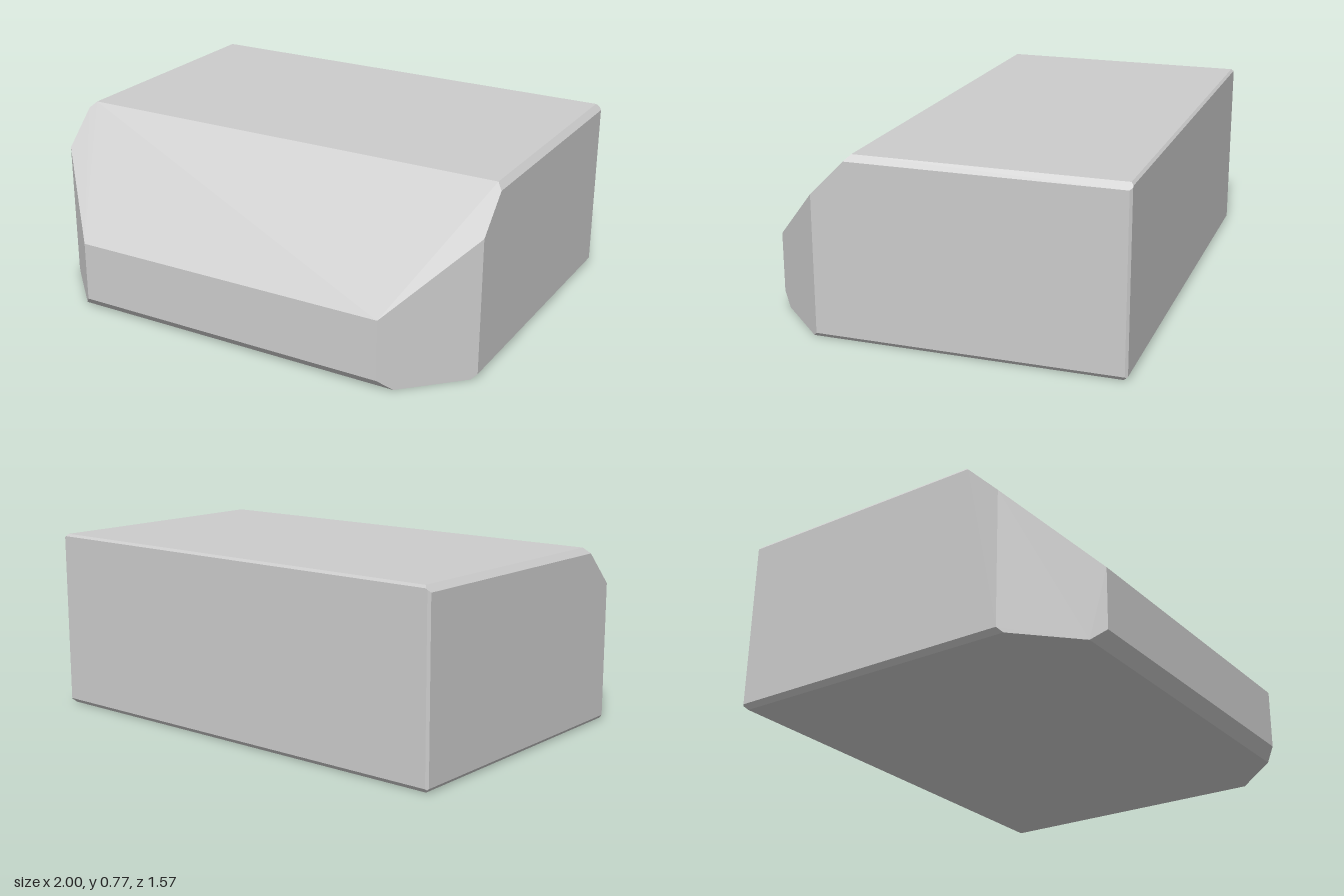
import * as THREE from 'three';
import { ConvexGeometry } from 'three/addons/geometries/ConvexGeometry.js';

export function createModel() {
  // Corners of the left half; the right half is mirrored
  const corners = [
    // front face and its lower bevel
    [0.705, 0.31, 0.785], [0.705, 0.05, 0.785], [0.755, 0, 0.735],
    // cut front corner meeting the side and the floor
    [1, 0.6, 0.49], [1, 0.02, 0.49], [0.98, 0, 0.51],
    // top of the sloped front
    [1, 0.745, 0.345], [0.975, 0.77, 0.32],
    // upper back corner with fine bevels
    [1, 0.745, -0.775], [0.975, 0.77, -0.775], [0.985, 0.76, -0.785], [0.99, 0.755, -0.785],
    // lower back corner
    [1, 0.02, -0.775], [0.99, 0.02, -0.785], [0.995, 0.015, -0.78], [0.98, 0, -0.765],
  ];
  const points = corners.flatMap(([x, y, z]) => [
    new THREE.Vector3(x, y, z), new THREE.Vector3(-x, y, z),
  ]);

  // Bevelled solid block
  const block = new THREE.Mesh(
    new ConvexGeometry(points),
    new THREE.MeshStandardMaterial({ color: 0xcccccc, flatShading: true }),
  );
  block.name = 'bevelledBlock';

  const model = new THREE.Group();
  model.name = 'chamferedBlock';
  model.add(block);
  return model;
}
